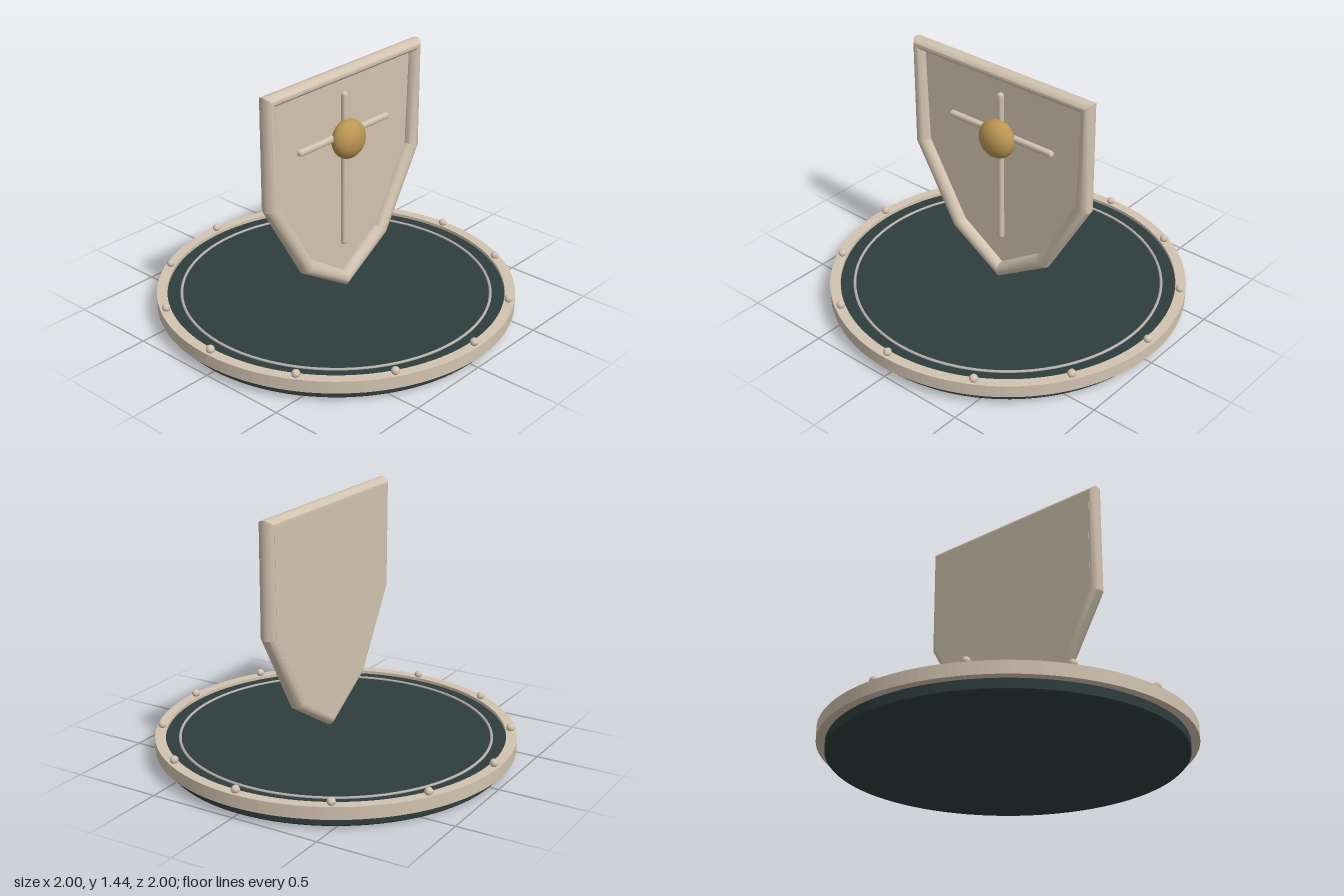
import * as THREE from 'three';
import { toCreasedNormals } from 'three/addons/utils/BufferGeometryUtils.js';
import { RoundedBoxGeometry } from 'three/addons/geometries/RoundedBoxGeometry.js';

function material(name, color) {
  const m = new THREE.MeshStandardMaterial({ color });
  m.name = name;
  return m;
}

// Round tube around a closed outline (counter-clockwise), one ring per corner
function outlineTube(points, radius, sides) {
  const n = points.length, position = [], index = [];
  points.forEach((p, i) => {
    const before = p.clone().sub(points[(i + n - 1) % n]).normalize();
    const after = points[(i + 1) % n].clone().sub(p).normalize();
    const t = before.add(after).normalize();
    for (let j = 0; j < sides; j++) {
      const a = (j / sides) * Math.PI * 2;
      const out = radius * Math.cos(a);
      position.push(p.x + t.y * out, p.y - t.x * out, radius * Math.sin(a));
      const i2 = (i + 1) % n, j2 = (j + 1) % sides;
      const A = i * sides + j, B = i2 * sides + j, C = i2 * sides + j2, D = i * sides + j2;
      index.push(A, B, C, A, C, D);
    }
  });
  const g = new THREE.BufferGeometry();
  g.setAttribute('position', new THREE.Float32BufferAttribute(position, 3));
  g.setIndex(index);
  return toCreasedNormals(g, 0.4);
}

export function createModel() {
  const model = new THREE.Group();
  const stone = material('pale stone', 0xd2c3b0);
  const dark = material('dark green', 0x2f3d3d);
  const gold = material('aged gold', 0xbb9653);
  const silver = material('silver inlay', 0xb8b2ae);

  function add(parent, name, geometry, mat, x = 0, y = 0, z = 0) {
    const mesh = new THREE.Mesh(geometry, mat);
    mesh.name = name;
    mesh.position.set(x, y, z);
    parent.add(mesh);
    return mesh;
  }

  // Round base with softened lower edge
  const base = new THREE.Group();
  base.name = 'base';
  model.add(base);
  const profile = [[0, 0], [0.945, 0], [0.953, 0.008], [0.953, 0.112], [0, 0.112]]
    .map(([x, y]) => new THREE.Vector2(x, y));
  add(base, 'baseDisc', toCreasedNormals(new THREE.LatheGeometry(profile, 96), 0.5), dark);

  // Raised band around the base
  const band = new THREE.Shape().absarc(0, 0, 1, 0, Math.PI * 2);
  band.holes.push(new THREE.Path().absarc(0, 0, 0.942, 0, Math.PI * 2, true));
  const bandGeometry = new THREE.ExtrudeGeometry(band, { depth: 0.07, bevelEnabled: false, curveSegments: 64 });
  add(base, 'baseBand', bandGeometry.rotateX(-Math.PI / 2), stone, 0, 0.06, 0);

  // Thin inlaid ring
  add(base, 'inlayRing', new THREE.TorusGeometry(0.863, 0.008, 8, 96).rotateX(Math.PI / 2), silver, 0, 0.114, 0);

  // Twelve studs on the band
  const studGeometry = new THREE.SphereGeometry(0.023, 16, 12);
  for (let i = 0; i < 12; i++) {
    const a = (i / 12) * Math.PI * 2;
    add(base, 'stud', studGeometry, stone, 0.968 * Math.cos(a), 0.145, 0.968 * Math.sin(a));
  }

  // Shield: panel and rim share one mirrored outline
  const shield = new THREE.Group();
  shield.name = 'shield';
  model.add(shield);
  const half = [[0.302, 0.38], [0.563, 0.822], [0.57, 1.41]];
  const outline = [[0, 0.19], ...half, ...half.map(([x, y]) => [-x, y]).reverse()]
    .map(([x, y]) => new THREE.Vector2(x, y));
  const panel = new THREE.ExtrudeGeometry(new THREE.Shape(outline), { depth: 0.042, bevelEnabled: false });
  add(shield, 'shieldPanel', panel, stone, 0, 0, 0.009);
  add(shield, 'shieldRim', outlineTube(outline, 0.045, 20), stone, 0, 0, 0.055);

  // Cross ribs and domed boss
  add(shield, 'verticalRib', new RoundedBoxGeometry(0.036, 0.9, 0.036, 3, 0.015), stone, 0, 0.85, 0.06);
  add(shield, 'crossRib', new RoundedBoxGeometry(0.71, 0.036, 0.036, 3, 0.015), stone, 0, 1.06, 0.06);
  add(shield, 'boss', new THREE.SphereGeometry(0.11, 32, 24), gold, 0, 1.04, 0.09).scale.z = 0.68;

  return model;
}
